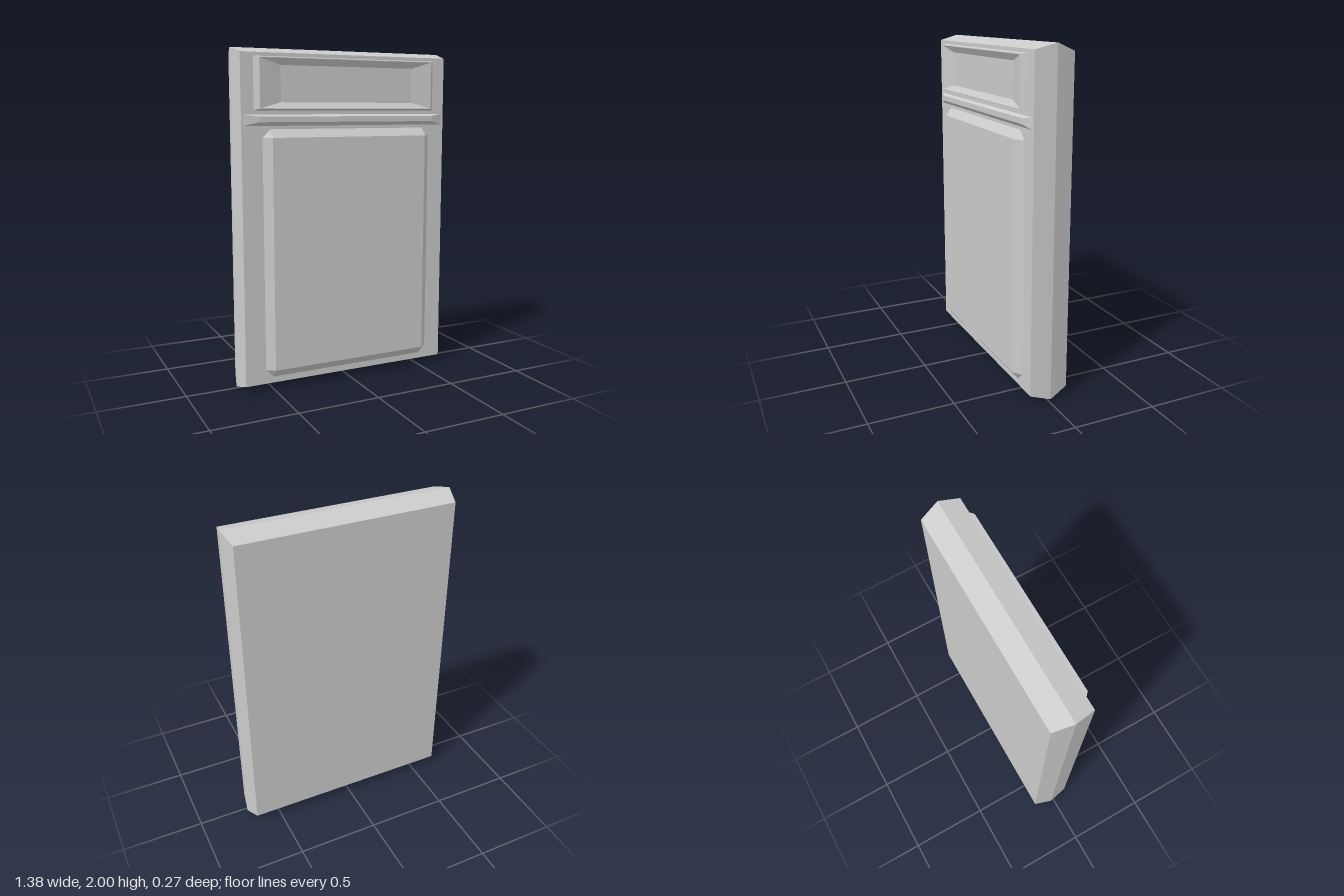
import * as THREE from 'three';

const material = new THREE.MeshStandardMaterial({ color: 0xcccccc, flatShading: true });

// Rectangle with optionally cut corners, counter-clockwise seen from the front
function ring(x0, x1, y0, y1, z, cut = 0) {
  return [
    [x0 + cut, y0], [x1 - cut, y0], [x1, y0 + cut], [x1, y1 - cut],
    [x1 - cut, y1], [x0 + cut, y1], [x0, y1 - cut], [x0, y0 + cut],
  ].map(([x, y]) => new THREE.Vector3(x, y, z));
}

// Skin a stack of rings and cap both ends
function loft(name, rings) {
  const positions = [];
  const triangle = (a, b, c) => {
    if (new THREE.Triangle(a, b, c).getArea() < 1e-8) return;
    for (const p of [a, b, c]) positions.push(p.x, p.y, p.z);
  };
  const n = rings[0].length;
  for (let r = 0; r < rings.length - 1; r++) {
    const low = rings[r], high = rings[r + 1];
    for (let i = 0; i < n; i++) {
      const j = (i + 1) % n;
      triangle(low[i], low[j], high[j]);
      triangle(low[i], high[j], high[i]);
    }
  }
  const back = rings[0], front = rings[rings.length - 1];
  for (let i = 1; i < n - 1; i++) {
    triangle(back[0], back[i + 1], back[i]);
    triangle(front[0], front[i], front[i + 1]);
  }
  const geometry = new THREE.BufferGeometry();
  geometry.setAttribute('position', new THREE.Float32BufferAttribute(positions, 3));
  geometry.computeVertexNormals();
  const mesh = new THREE.Mesh(geometry, material);
  mesh.name = name;
  return mesh;
}

export function createModel() {
  const group = new THREE.Group();
  group.name = 'cabinetFront';

  // Slab with edges that come to a ridge
  group.add(loft('slab', [
    ring(-0.66, 0.66, 0.045, 1.955, -0.137),
    ring(-0.69, 0.69, 0, 2, -0.02),
    ring(-0.668, 0.668, 0.035, 1.968, 0.1),
  ]));

  // Raised door panel with bevelled border and cut corners
  group.add(loft('doorPanel', [
    ring(-0.543, 0.56, 0.072, 1.54, 0.095, 0.047),
    ring(-0.543, 0.56, 0.072, 1.54, 0.1, 0.047),
    ring(-0.495, 0.514, 0.12, 1.492, 0.137),
  ]));

  // Moulding between drawer and door
  group.add(loft('dividerRail', [
    ring(-0.668, 0.66, 1.557, 1.625, 0.098),
    ring(-0.57, 0.57, 1.58, 1.612, 0.122),
  ]));

  // Drawer front: narrow raised rim sloping in to a sunken field
  group.add(loft('drawerFront', [
    ring(-0.598, 0.592, 1.645, 1.948, 0.095),
    ring(-0.565, 0.56, 1.655, 1.942, 0.127),
    ring(-0.56, 0.555, 1.658, 1.938, 0.127),
    ring(-0.43, 0.43, 1.692, 1.9, 0.103),
  ]));

  return group;
}
